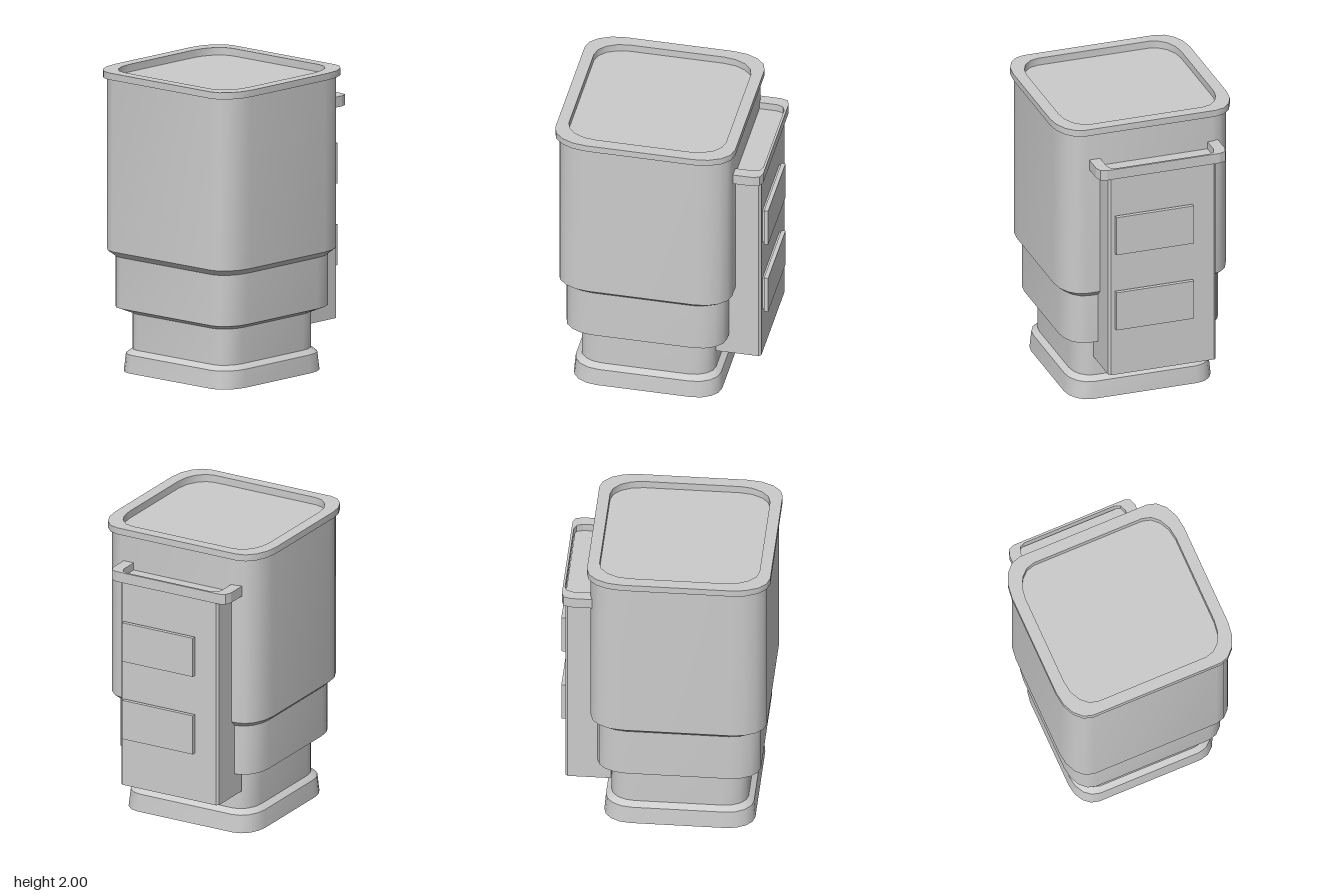
import * as THREE from 'three';
import { toCreasedNormals } from 'three/addons/utils/BufferGeometryUtils.js';

const material = new THREE.MeshStandardMaterial({ color: 0xcccccc, side: THREE.DoubleSide });
const CENTER_Z = 0.095;
const CORNER_STEPS = 4;

// Rounded rectangle outline at height y, with elliptical corners
function ring([hx, hz, y, rx, rz]) {
  const points = [];
  const signs = [[1, 1], [-1, 1], [-1, -1], [1, -1]];
  signs.forEach(([sx, sz], corner) => {
    for (let i = 0; i <= CORNER_STEPS; i++) {
      const a = (corner + i / CORNER_STEPS) * Math.PI / 2;
      points.push([sx * (hx - rx) + Math.cos(a) * rx, y, CENTER_Z + sz * (hz - rz) + Math.sin(a) * rz]);
    }
  });
  return points;
}

// Skin a stack of outlines; a last outline of zero size closes the surface
function loft(sections) {
  const rings = sections.map(ring);
  const positions = [];
  for (let i = 0; i < rings.length - 1; i++) {
    const lower = rings[i], upper = rings[i + 1], n = lower.length;
    const closing = sections[i + 1][0] === 0;
    for (let j = 0; j < n; j++) {
      const k = (j + 1) % n;
      positions.push(...lower[j], ...upper[j], ...lower[k]);
      if (!closing) positions.push(...lower[k], ...upper[j], ...upper[k]);
    }
  }
  const geometry = new THREE.BufferGeometry();
  geometry.setAttribute('position', new THREE.Float32BufferAttribute(positions, 3));
  return toCreasedNormals(geometry, 0.5);
}

// Extrude a plan outline of [x, z] points between two heights
function slab(outline, y0, y1) {
  const shape = new THREE.Shape(outline.map(([x, z]) => new THREE.Vector2(x, -z)));
  const geometry = new THREE.ExtrudeGeometry(shape, { depth: y1 - y0, bevelEnabled: false });
  geometry.rotateX(-Math.PI / 2);
  geometry.translate(0, y0, 0);
  return geometry;
}

function add(parent, name, geometry) {
  const mesh = new THREE.Mesh(geometry, material);
  mesh.name = name;
  parent.add(mesh);
  return mesh;
}

export function createModel() {
  const model = new THREE.Group();
  model.name = 'steppedContainer';

  // Hollow stepped body, open below, from the foot up to the recessed lid
  add(model, 'body', loft([
    [0.5, 0.493, 0, 0.14, 0.18],
    [0.49, 0.483, 0.12, 0.14, 0.18],
    [0.455, 0.447, 0.15, 0.12, 0.16],
    [0.455, 0.447, 0.39, 0.12, 0.16],
    [0.542, 0.533, 0.43, 0.14, 0.2],
    [0.542, 0.533, 0.77, 0.14, 0.2],
    [0.585, 0.575, 0.81, 0.15, 0.22],
    [0.585, 0.575, 1.955, 0.15, 0.22],
    [0.61, 0.598, 1.955, 0.16, 0.24],
    [0.61, 0.598, 2, 0.16, 0.24],
    [0.532, 0.522, 2, 0.15, 0.21],
    [0.532, 0.522, 1.95, 0.15, 0.21],
    [0, 0, 1.95, 0, 0],
  ]));

  // Box mounted on the back, slightly off centre
  const pack = new THREE.Group();
  pack.name = 'backPack';
  model.add(pack);
  const left = 0.34, right = -0.4, back = -0.65;
  add(pack, 'packBox', slab([
    [right, -0.35], [left, -0.35], [left, back + 0.015], [left - 0.015, back],
    [right + 0.015, back], [right, back + 0.015],
  ], 0.28, 1.72));

  // Raised lip around the three free sides of the box
  add(pack, 'packLip', slab([
    [-0.475, -0.46], [-0.475, -0.61], [-0.46, -0.655], [-0.42, -0.67],
    [0.36, -0.67], [0.4, -0.655], [0.415, -0.61], [0.415, -0.46],
    [left, -0.46], [left, -0.6], [left - 0.015, -0.64], [left - 0.05, -0.655],
    [right + 0.05, -0.655], [right + 0.015, -0.64], [right, -0.6], [right, -0.46],
  ], 1.7, 1.77));

  // Two plates on the back, each on a slightly smaller spacer
  for (const y of [0.753, 1.295]) {
    const plate = add(pack, 'backPlate', new THREE.BoxGeometry(0.535, 0.27, 0.028));
    plate.position.set(0.035, y, -0.676);
    const spacer = add(pack, 'plateSpacer', new THREE.BoxGeometry(0.515, 0.25, 0.02));
    spacer.position.set(0.035, y, -0.655);
  }
  return model;
}
